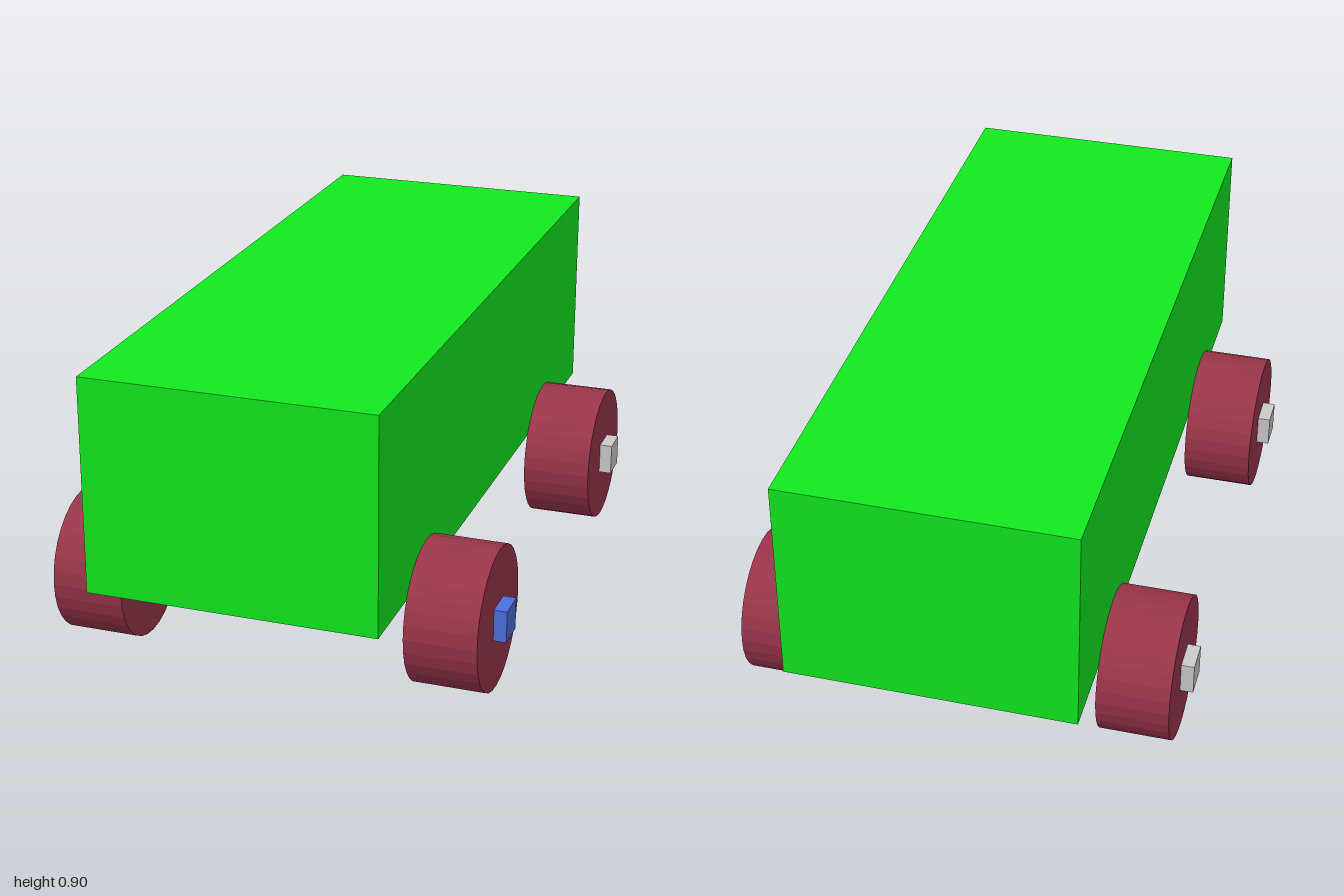
import * as THREE from 'three';

const paint = (color, flatShading = false) => new THREE.MeshStandardMaterial({ color, flatShading });

export function createModel() {
  const model = new THREE.Group();
  model.name = 'wagon';

  const bodyPaint = paint(0x11ea1f);
  const wheelPaint = paint(0x9a354a, true);
  const hubGrey = paint(0xcccccc);
  const hubBlue = paint(0x4c70dc);

  // Long box body
  const body = new THREE.Mesh(new THREE.BoxGeometry(0.8, 0.6, 2), bodyPaint);
  body.name = 'body';
  body.position.y = 0.6;
  model.add(body);

  // Wheel lies along x; its hub sits on the outer face
  const wheelGeometry = new THREE.CylinderGeometry(0.2, 0.2, 0.2, 32).rotateZ(Math.PI / 2);
  const hubGeometry = new THREE.BoxGeometry(0.036, 0.09, 0.09);

  for (const [end, z] of [['front', 0.6], ['back', -0.6]]) {
    for (const [sideName, side] of [['Left', 1], ['Right', -1]]) {
      const assembly = new THREE.Group();
      assembly.name = `${end}${sideName}Wheel`;
      assembly.position.set(side * 0.5, 0.2, z);

      const wheel = new THREE.Mesh(wheelGeometry, wheelPaint);
      wheel.name = 'wheel';

      // Only the front left hub is blue
      const isBlue = end === 'front' && side > 0;
      const hub = new THREE.Mesh(hubGeometry, isBlue ? hubBlue : hubGrey);
      hub.name = 'hub';
      hub.position.x = side * 0.118;

      assembly.add(wheel, hub);
      model.add(assembly);
    }
  }
  return model;
}
